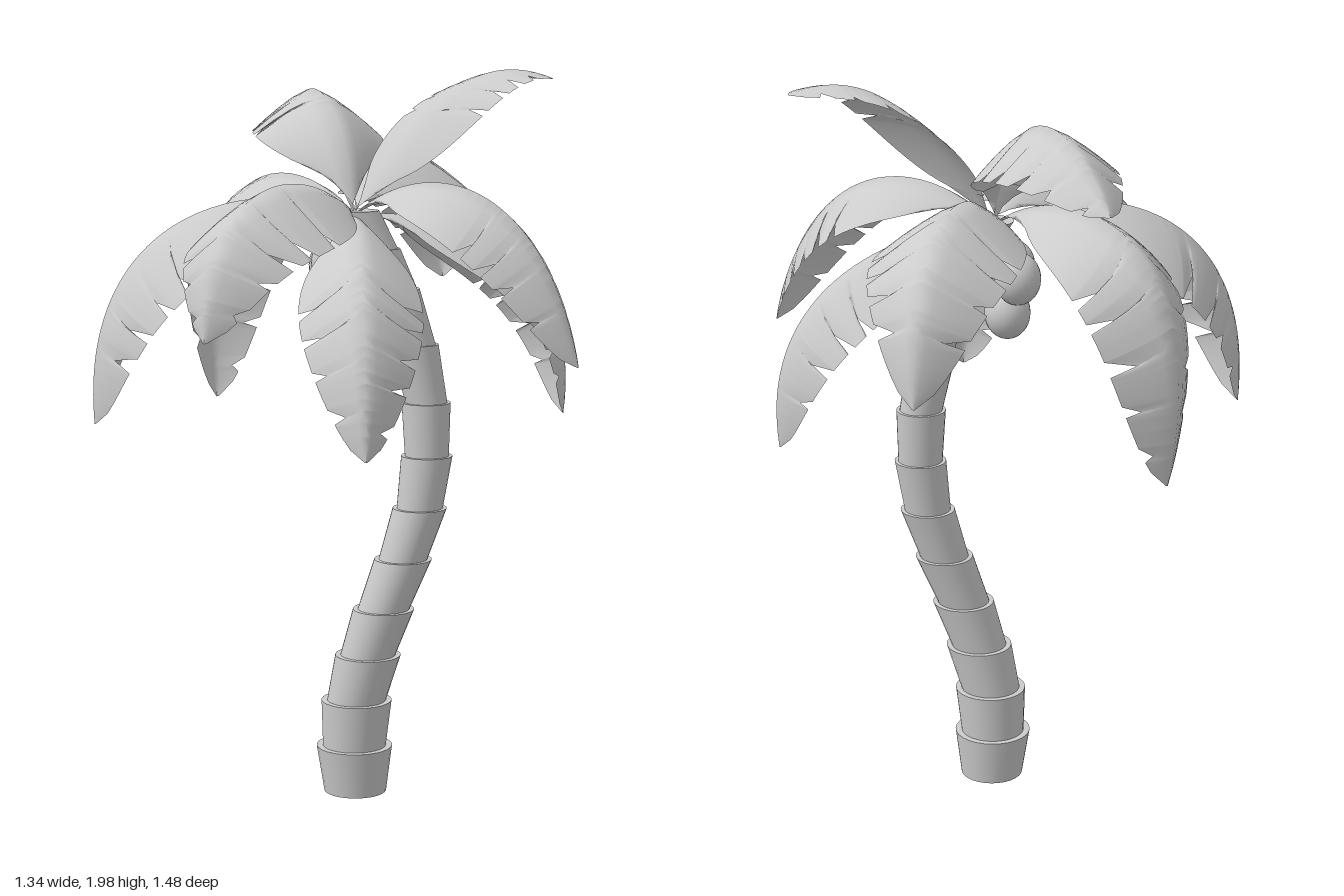
import * as THREE from 'three';

const UP = new THREE.Vector3(0, 1, 0);
const CROWN_Y = 1.6;

// Fronds: tip position, two arch handles [fraction of the way out, height],
// half width of the blade, its fold angle and an optional turn about the vertical
const FRONDS = [
  { name: 'frontFrond', tip: [0.22, 1.34, 0.74], arch: [[0.35, 1.77], [1, 1.76]], w: 0.235, fold: 0.6 },
  { name: 'frontLeftLowFrond', tip: [0.44, 1.03, 0.4], arch: [[0.4, 1.6], [1, 1.47]], w: 0.19, fold: 0.6 },
  { name: 'leftFrond', tip: [0.68, 1.24, -0.13], arch: [[0.35, 1.79], [0.85, 1.71]], w: 0.2, fold: 0.55 },
  { name: 'backLeftLowFrond', tip: [0.32, 1.04, -0.5], arch: [[0.4, 1.62], [1.1, 1.5]], w: 0.19, fold: 0.6 },
  { name: 'uprightFrond', tip: [0.35, 1.96, -0.4], arch: [[0.25, 1.82], [0.55, 2.06]], w: 0.165, fold: 0.25, turn: 0.55 },
  { name: 'backFrond', tip: [-0.36, 1.35, -0.74], arch: [[0.35, 1.81], [1, 1.85]], w: 0.22, fold: 0.58 },
  { name: 'rightHighFrond', tip: [-0.6, 1.77, -0.29], arch: [[0.12, 1.95], [0.6, 2.03]], w: 0.215, fold: 0.6 },
  { name: 'rightFrond', tip: [-0.63, 1.03, -0.07], arch: [[0.45, 1.8], [1.25, 1.72]], w: 0.21, fold: 0.58 },
  { name: 'frontRightFrond', tip: [-0.41, 1.05, 0.57], arch: [[0.35, 1.72], [1.06, 1.64]], w: 0.255, fold: 0.58 },
];

function seeded(seed) {
  return () => (seed = (seed * 16807) % 2147483647) / 2147483647;
}

// Slits along one edge: centre, opening and remaining width
function makeSlits(rand) {
  const slits = [];
  for (let t = 0.42 + rand() * 0.08; t < 0.94; t += 0.1 + rand() * 0.05) {
    slits.push({ t, open: 0.015 + rand() * 0.013, keep: 0.5 + rand() * 0.25 });
  }
  return slits;
}

function edgeFactor(slits, t) {
  for (const { t: c, open, keep } of slits) {
    const d = Math.abs(t - c) / open;
    if (d < 1) return keep + (1 - keep) * d;
  }
  return 1;
}

// Folded leaf blade swept along an arched midrib, with slit edges
function frondGeometry({ tip, arch, w, fold, turn = 0 }, seed) {
  const rand = seeded(seed);
  const slits = [makeSlits(rand), makeSlits(rand)];
  const [x, y, z] = tip;
  const handles = arch.map(([f, h]) => new THREE.Vector3(x * f, h, z * f));
  const curve = new THREE.CubicBezierCurve3(
    new THREE.Vector3(0, CROWN_Y, 0), ...handles, new THREE.Vector3(x, y, z));
  const side = new THREE.Vector3(x, 0, z).cross(UP).normalize().applyAxisAngle(UP, turn);

  // Regular rows plus three rows for every slit
  const rows = [];
  for (let i = 0; i <= 28; i++) rows.push(i / 28);
  for (const { t, open } of slits.flat()) rows.push(t - open, t, t + open);
  const ts = rows.filter((t) => t <= 1).sort((a, b) => a - b);

  const cols = 8, pos = [], index = [];
  ts.forEach((t, r) => {
    const width = w * (0.02 + Math.max(0, Math.sin(Math.PI * t ** 0.78)) ** 0.62);
    for (let c = 0; c <= cols; c++) {
      const s = (c / cols) * 2 - 1;
      const a = Math.abs(s);
      const reach = width * edgeFactor(slits[s < 0 ? 0 : 1], t);
      const u = Math.min(1, t + 0.14 * a * (1 - t));
      const normal = side.clone().cross(curve.getTangentAt(u)).normalize();
      const p = curve.getPointAt(u)
        .addScaledVector(side, s * reach * Math.cos(fold))
        .addScaledVector(normal, -(a ** 1.25) * reach * Math.sin(fold));
      pos.push(p.x, p.y, p.z);
      if (r && c) {
        const d = r * (cols + 1) + c, b = d - cols - 1;
        index.push(b - 1, b, d - 1, b, d, d - 1);
      }
    }
  });
  const geo = new THREE.BufferGeometry();
  geo.setAttribute('position', new THREE.Float32BufferAttribute(pos, 3));
  geo.setIndex(index);
  geo.computeVertexNormals();
  return geo;
}

// Trunk of flared segments with level joints, sheared to follow a bent line
function buildTrunk(material) {
  const trunk = new THREE.Group();
  trunk.name = 'trunk';
  const line = new THREE.CatmullRomCurve3([
    [0.005, 0, 0], [0.01, 0.26, 0], [0.07, 0.52, -0.045], [0.132, 0.8, -0.122],
    [0.137, 1.09, -0.14], [0.078, 1.4, -0.085], [0, 1.61, -0.01],
  ].map((p) => new THREE.Vector3(...p)));
  const count = 12;
  for (let i = 1; i <= count; i++) {
    const a = line.getPoint((i - 1) / count), b = line.getPoint(i / count);
    const top = 0.061 + 0.052 * (1 - i / count) ** 2;
    const bottom = top * (i === 1 ? 0.82 : 0.9);
    const step = b.clone().sub(a);
    const geo = new THREE.CylinderGeometry(top, bottom, step.y, 28);
    geo.applyMatrix4(new THREE.Matrix4().makeShear(0, 0, step.x / step.y, step.z / step.y, 0, 0));
    const segment = new THREE.Mesh(geo, material);
    segment.name = 'trunkSegment' + i;
    segment.position.lerpVectors(a, b, 0.5);
    trunk.add(segment);
  }
  return trunk;
}

export function createModel() {
  const model = new THREE.Group();
  model.name = 'palmTree';
  const solid = new THREE.MeshStandardMaterial({ color: 0xcccccc });
  const leaf = new THREE.MeshStandardMaterial({ color: 0xcccccc, side: THREE.DoubleSide });
  model.add(buildTrunk(solid));

  // Crown of fronds
  const crown = new THREE.Group();
  crown.name = 'crown';
  FRONDS.forEach((f, i) => {
    const frond = new THREE.Mesh(frondGeometry(f, 1234 + i * 7919), leaf);
    frond.name = f.name;
    crown.add(frond);
  });
  model.add(crown);

  // Coconuts hanging under the crown
  const nutGeo = new THREE.SphereGeometry(0.062, 24, 16).scale(1, 1.15, 1);
  [[-0.028, 1.355, 0.025], [-0.075, 1.46, 0.01], [-0.015, 1.475, 0.06]].forEach((p, i) => {
    const nut = new THREE.Mesh(nutGeo, solid);
    nut.name = 'coconut' + (i + 1);
    nut.position.set(...p);
    model.add(nut);
  });
  return model;
}
